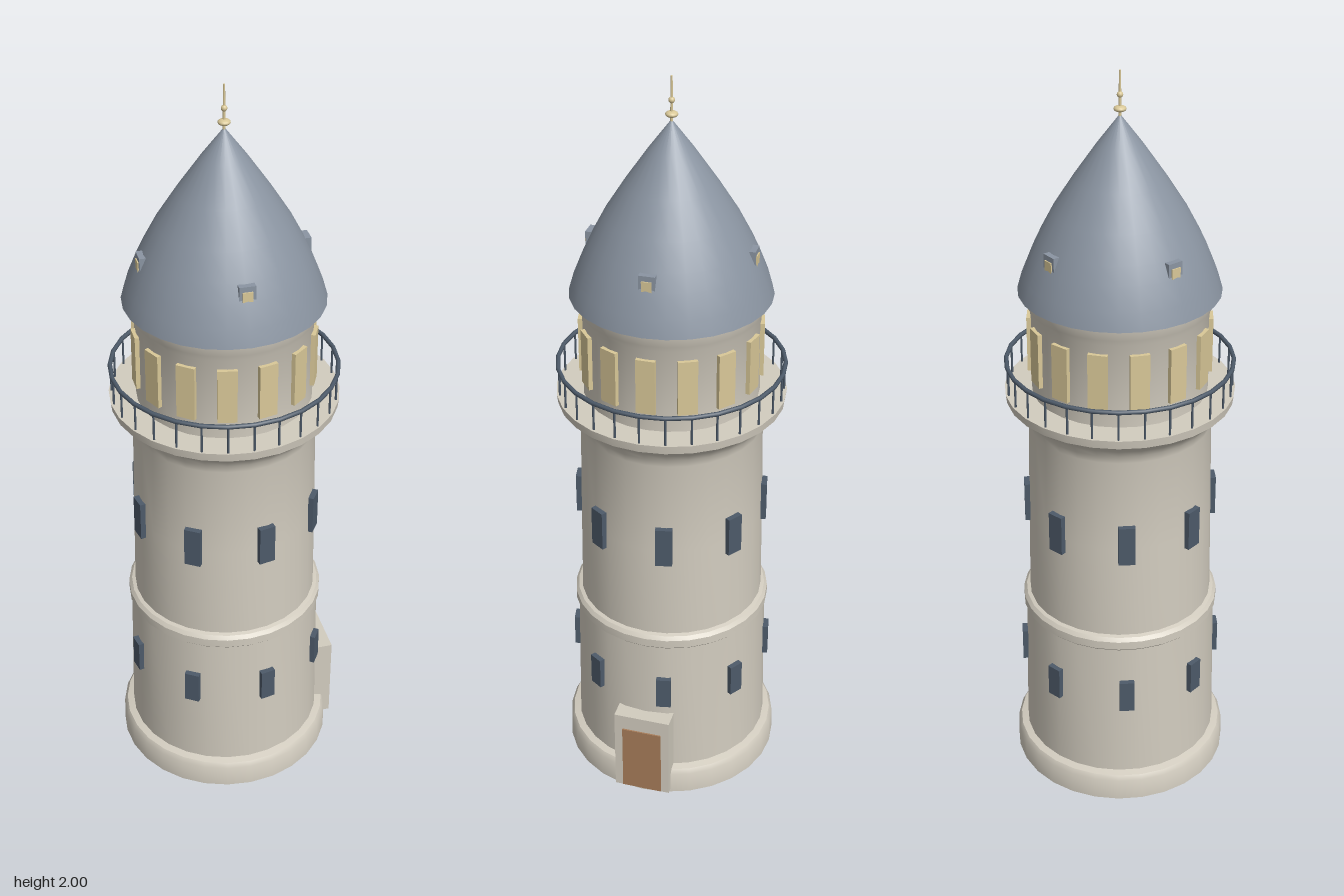
import * as THREE from 'three';
import { toCreasedNormals } from 'three/addons/utils/BufferGeometryUtils.js';

const SIDES = 28;

function material(name, color, side = THREE.FrontSide) {
  const m = new THREE.MeshStandardMaterial({ color, side });
  m.name = name;
  return m;
}

export function createModel() {
  const stone = material('stone', 0xd2ccbf, THREE.DoubleSide);
  const slate = material('slate', 0x8b95a2, THREE.DoubleSide);
  const iron = material('darkBlueIron', 0x4d5a69);
  const glow = material('warmGlass', 0xd9c898);
  const wood = material('wood', 0xa87d5a);

  const root = new THREE.Group();
  root.name = 'tower';
  const tower = new THREE.Group();
  tower.name = 'towerBody';
  tower.position.x = -0.003;
  root.add(tower);

  function add(name, geometry, mat, x = 0, y = 0, z = 0, parent = tower) {
    const mesh = new THREE.Mesh(geometry, mat);
    mesh.name = name;
    mesh.position.set(x, y, z);
    parent.add(mesh);
    return mesh;
  }

  function lathe(name, profile, mat, sides = SIDES) {
    const points = profile.map(([r, y]) => new THREE.Vector2(r, y));
    return add(name, toCreasedNormals(new THREE.LatheGeometry(points, sides), 0.6), mat);
  }

  // Group turned about the axis so that its local +z points outward
  function facing(name, angle) {
    const g = new THREE.Group();
    g.name = name;
    g.rotation.y = angle;
    tower.add(g);
    return g;
  }

  // Shell: plinth, tapered wall, string course, flared gallery
  lathe('wall', [
    [0.297, 0], [0.295, 0.062], [0.287, 0.075], [0.268, 0.08],
    [0.261, 0.49], [0.268, 0.497], [0.268, 0.52], [0.26, 0.53], [0.25, 0.533],
    [0.246, 0.8], [0.241, 1.06], [0.246, 1.082], [0.261, 1.105], [0.283, 1.125],
    [0.298, 1.135], [0.301, 1.158], [0.23, 1.158],
  ], stone);
  lathe('lanternRoom', [
    [0.23, 1.158], [0.229, 1.385], [0.238, 1.402], [0.241, 1.437], [0.258, 1.437],
  ], stone);

  // Bell-shaped roof
  lathe('roof', [
    [0.26, 1.435], [0.247, 1.48], [0.223, 1.54], [0.203, 1.583], [0.169, 1.648],
    [0.117, 1.73], [0.057, 1.817], [0.002, 1.89],
  ], slate);

  // Finial
  add('finialRod', new THREE.CylinderGeometry(0.0025, 0.004, 0.12, 8), glow, 0, 1.94, 0);
  add('finialLowerBall', new THREE.SphereGeometry(0.016, 14, 8), glow, 0, 1.905, 0).scale.y = 0.5;
  add('finialUpperBall', new THREE.SphereGeometry(0.008, 12, 8), glow, 0, 1.94, 0);

  // Two storeys of wall windows
  const storeys = [
    { name: 'lowerWindow', r: 0.264, y: 0.342, h: 0.093, w: 0.04 },
    { name: 'upperWindow', r: 0.246, y: 0.818, h: 0.112, w: 0.044 },
  ];
  for (const { name, r, y, h, w } of storeys) {
    for (let i = 0; i < 8; i++) {
      const g = facing(name, Math.PI / 16 + (i * Math.PI) / 4);
      add(name + 'Pane', new THREE.BoxGeometry(w, h, 0.024), iron, 0, y, r, g);
    }
  }

  // Lantern room windows
  for (let i = 0; i < 14; i++) {
    const g = facing('lanternWindow', ((i + 0.5) * Math.PI * 2) / 14);
    add('lanternPane', new THREE.BoxGeometry(0.05, 0.15, 0.02), glow, 0, 1.285, 0.228, g);
  }

  // Gallery railing
  const rail = add('handrail', new THREE.TorusGeometry(0.295, 0.006, 8, SIDES), iron, 0, 1.236, 0);
  rail.rotation.x = Math.PI / 2;
  const postGeometry = new THREE.CylinderGeometry(0.003, 0.003, 0.08, 6);
  for (let i = 0; i < SIDES; i++) {
    const g = facing('railing', (i * Math.PI * 2) / SIDES);
    add('railPost', postGeometry, iron, 0, 1.196, 0.293, g);
  }

  // Small roof dormers
  for (let i = 0; i < 4; i++) {
    const g = facing('dormer', (i * Math.PI) / 2);
    add('dormerHood', new THREE.BoxGeometry(0.042, 0.046, 0.05), slate, 0, 1.557, 0.194, g);
    add('dormerPane', new THREE.BoxGeometry(0.026, 0.03, 0.006), glow, 0, 1.551, 0.219, g);
  }

  // Doorway on the left side
  const doorway = facing('doorway', Math.PI / 2);
  add('doorSurround', new THREE.BoxGeometry(0.156, 0.253, 0.065), stone, 0, 0.1365, 0.27, doorway);
  add('door', new THREE.BoxGeometry(0.11, 0.205, 0.008), wood, 0, 0.1155, 0.3025, doorway);

  return root;
}
